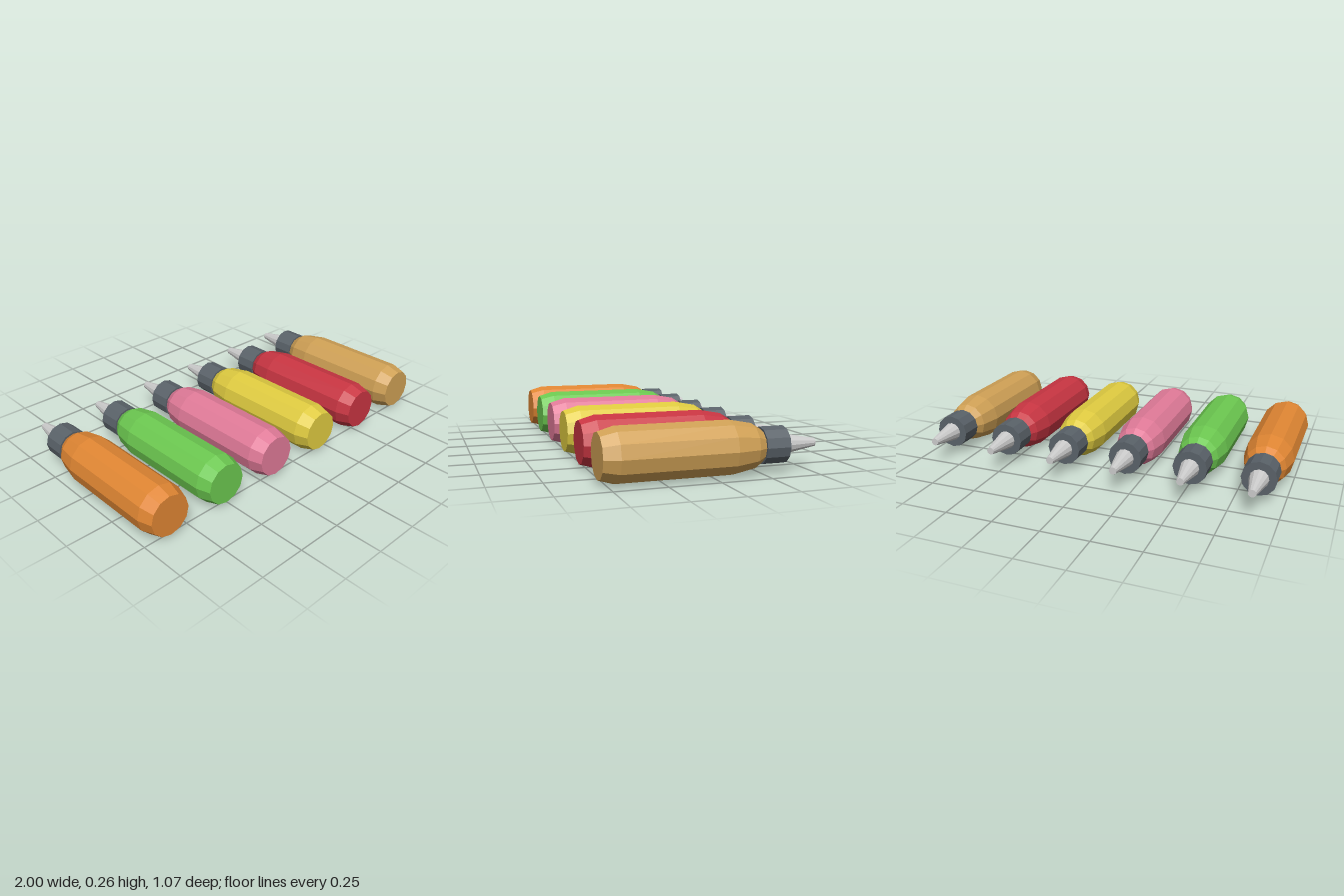
import * as THREE from 'three';

const SIDES = 12;
const AXIS_Y = 0.13;

// Faceted solid of revolution lying along z; profile is [radius, z] from back to front
function turned(name, profile, color) {
  const points = profile.map(([r, z]) => new THREE.Vector2(r, z));
  const geometry = new THREE.LatheGeometry(points, SIDES).rotateX(Math.PI / 2);
  const material = new THREE.MeshStandardMaterial({ color, flatShading: true });
  const mesh = new THREE.Mesh(geometry, material);
  mesh.name = name;
  return mesh;
}

function createBottle(color) {
  const bottle = new THREE.Group();
  bottle.add(
    // Coloured body with a sloped shoulder and chamfered base
    turned('body', [
      [0, -0.245], [0.08, -0.245], [0.108, -0.2], [0.13, -0.085],
      [0.13, 0.46], [0.108, 0.535], [0, 0.535],
    ], color),
    // Dark screw collar
    turned('collar', [[0, -0.365], [0.09, -0.365], [0.09, -0.245], [0, -0.245]], 0x5a6269),
    // Tapered nozzle with a blunt tip
    turned('nozzle', [[0, -0.535], [0.02, -0.535], [0.05, -0.365], [0, -0.365]], 0xcccccc),
  );
  return bottle;
}

export function createModel() {
  const model = new THREE.Group();
  model.name = 'bottleSet';
  const colors = {
    orange: 0xe08633, green: 0x6cc850, pink: 0xe07a98,
    yellow: 0xdfcb40, red: 0xc83542, tan: 0xcfa055,
  };
  // Row of evenly spaced bottles
  Object.entries(colors).forEach(([name, color], i) => {
    const bottle = createBottle(color);
    bottle.name = name + 'Bottle';
    bottle.position.set(-0.87 + i * 0.348, AXIS_Y, 0);
    model.add(bottle);
  });
  return model;
}
